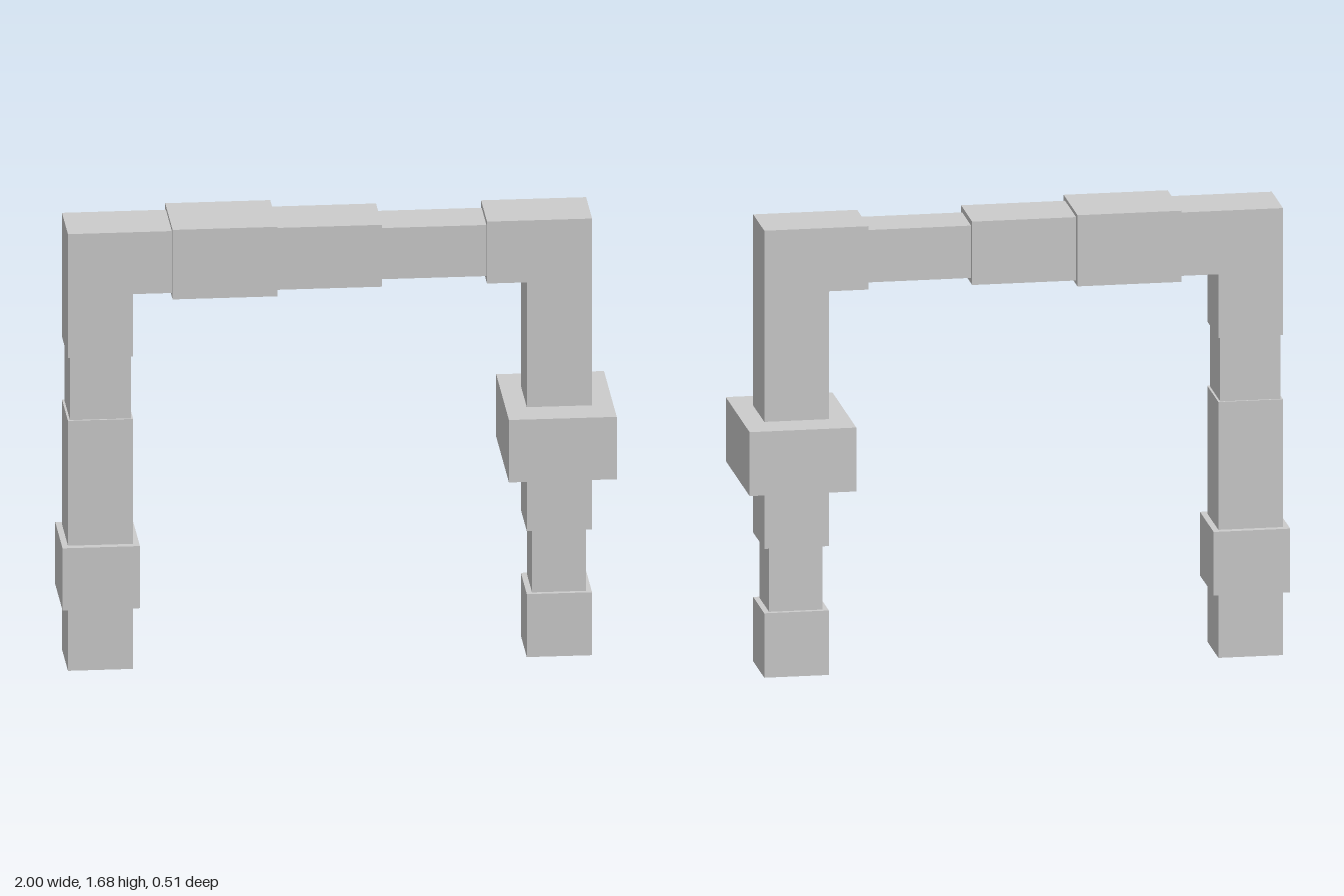
import * as THREE from 'three';

const material = new THREE.MeshStandardMaterial({ color: 0xcccccc, flatShading: true });
const W = 0.236; // standard square section
const TOP = 1.665, UNDER = TOP - W;
const LEFT_X = 0.802, RIGHT_X = -0.858; // leg centre lines

function add(group, name, geometry) {
  const mesh = new THREE.Mesh(geometry, material);
  mesh.name = name;
  group.add(mesh);
  return mesh;
}

// Stacked leg blocks: [name, bottom, top, width, depth]
function buildLeg(name, x, blocks) {
  const leg = new THREE.Group();
  leg.name = name;
  leg.position.x = x;
  for (const [part, y0, y1, w, d] of blocks) {
    add(leg, part, new THREE.BoxGeometry(w, y1 - y0, d)).position.y = (y0 + y1) / 2;
  }
  return leg;
}

// L-shaped corner: outer edge, end of the arm, end of the leg
function cornerGeometry(outer, armEnd, bottom) {
  const inner = outer + Math.sign(armEnd - outer) * W;
  const shape = new THREE.Shape([
    [outer, bottom], [inner, bottom], [inner, UNDER],
    [armEnd, UNDER], [armEnd, TOP], [outer, TOP],
  ].map(([x, y]) => new THREE.Vector2(x, y)));
  return new THREE.ExtrudeGeometry(shape, { depth: W, bevelEnabled: false }).translate(0, 0, -W / 2);
}

export function createModel() {
  const model = new THREE.Group();
  model.name = 'steppedArch';

  model.add(buildLeg('rightLeg', RIGHT_X, [
    ['foot', 0, 0.24, W, W],
    ['collar', 0.24, 0.477, 0.28, 0.29],
    ['shaft', 0.477, 0.953, W, W],
    ['neck', 0.953, 1.192, 0.22, 0.22],
  ]));
  model.add(buildLeg('leftLeg', LEFT_X, [
    ['foot', 0, 0.24, W, W],
    ['neck', 0.24, 0.48, 0.195, 0.2],
    ['shaft', 0.48, 0.715, W, W],
    ['wideCollar', 0.715, 0.953, 0.39, 0.506],
  ]));

  add(model, 'rightCorner', cornerGeometry(RIGHT_X - W / 2, -0.6, 1.192));
  add(model, 'leftCorner', cornerGeometry(LEFT_X + W / 2, 0.54, 0.953));

  // Beam blocks between the corners: [name, start, end, height, depth]
  const beam = new THREE.Group();
  beam.name = 'beam';
  beam.position.y = (TOP + UNDER) / 2;
  for (const [part, x0, x1, h, d] of [
    ['thickBeam', -0.6, -0.22, 0.265, 0.295],
    ['middleBeam', -0.22, 0.16, W, W],
    ['thinBeam', 0.16, 0.54, 0.195, 0.19],
  ]) {
    add(beam, part, new THREE.BoxGeometry(x1 - x0, h, d)).position.x = (x0 + x1) / 2;
  }
  model.add(beam);
  return model;
}
